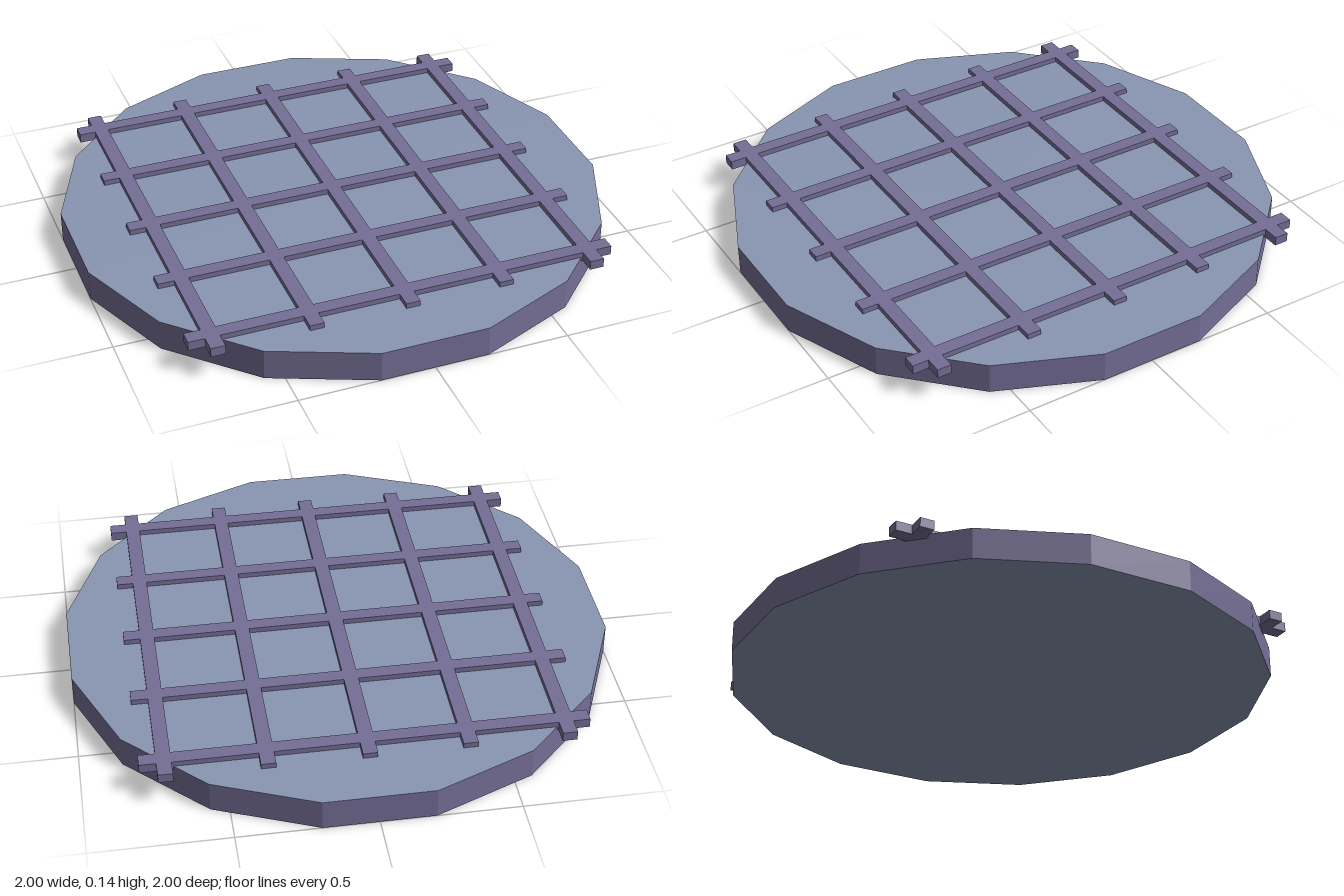
import * as THREE from 'three';

export function createModel() {
  const model = new THREE.Group();
  model.name = 'latticedDisc';

  const purple = new THREE.MeshStandardMaterial({ color: 0x756e96, flatShading: true });
  purple.name = 'dusky purple';
  const slate = new THREE.MeshStandardMaterial({ color: 0x8996b2, flatShading: true });
  slate.name = 'slate blue';

  // Sixteen-sided disc with a flat side facing front; purple rim, slate caps
  const sides = 16;
  const discHeight = 0.115;
  const radius = 1 / Math.cos(Math.PI / sides);
  const discGeometry = new THREE.CylinderGeometry(
    radius, radius, discHeight, sides, 1, false, Math.PI / sides);
  const disc = new THREE.Mesh(discGeometry, [purple, slate, slate]);
  disc.name = 'disc';
  disc.position.y = discHeight / 2;
  model.add(disc);

  // Square lattice of bars, half sunk into the disc and overhanging at the corners
  const lattice = new THREE.Group();
  lattice.name = 'lattice';
  const spacing = 0.355, length = 1.594, width = 0.053, thickness = 0.035;
  const barGeometry = new THREE.BoxGeometry(length, thickness, width);
  for (let i = -2; i <= 2; i++) {
    const crossBar = new THREE.Mesh(barGeometry, purple);
    crossBar.name = 'crossBar';
    crossBar.position.set(0, 0.1175, i * spacing);
    const lengthBar = new THREE.Mesh(barGeometry, purple);
    lengthBar.name = 'lengthBar';
    lengthBar.rotation.y = Math.PI / 2;
    lengthBar.position.set(i * spacing, 0.1175, 0);
    lattice.add(crossBar, lengthBar);
  }
  model.add(lattice);

  return model;
}
